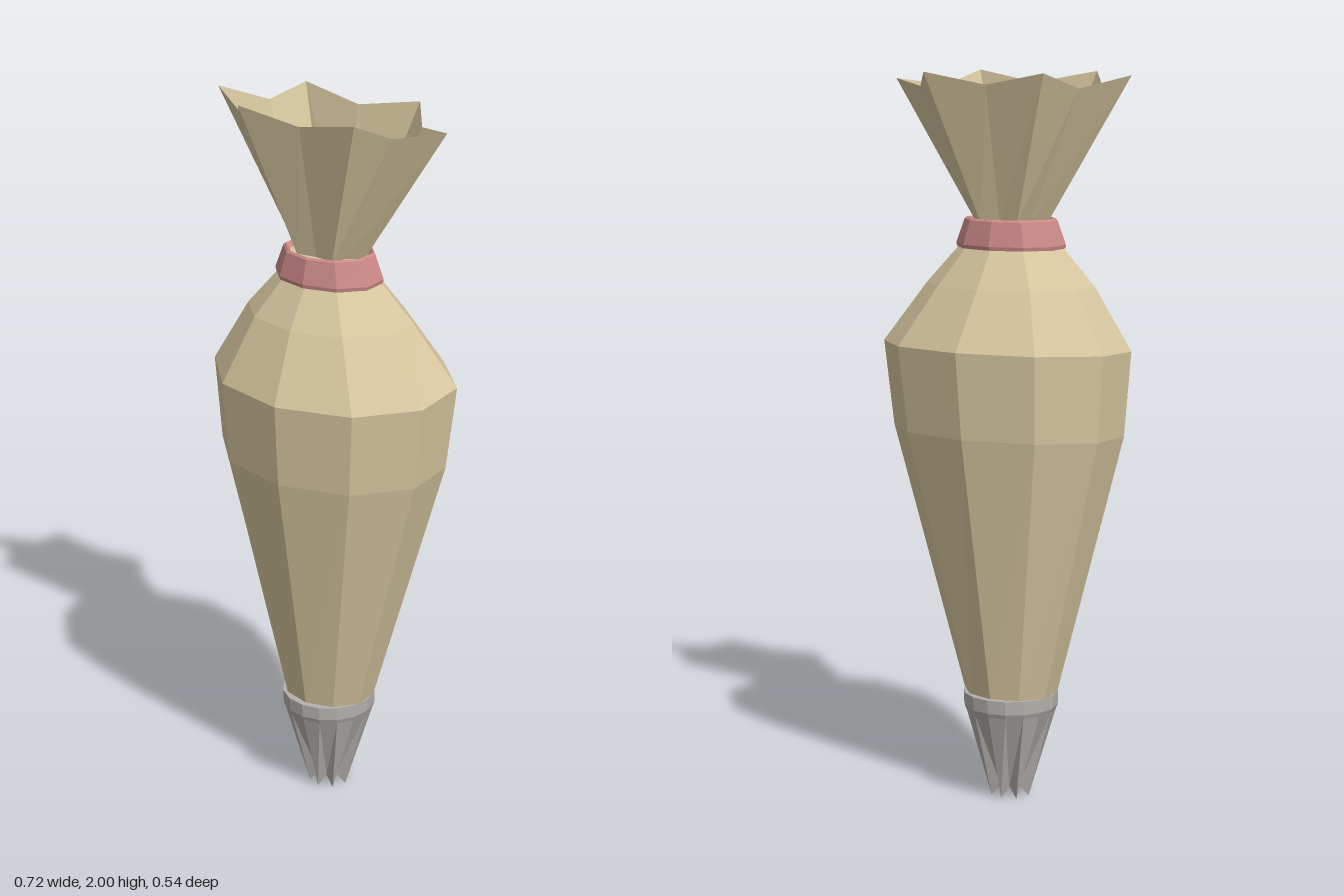
import * as THREE from 'three';

// Skin a stack of rings (bottom to top); each ring is a list of [x, y, z]
function loft(rings, { capBottom = false, capTop = false } = {}) {
  const n = rings[0].length;
  const pos = rings.flat(2);
  const idx = [];
  for (let k = 0; k < rings.length - 1; k++) {
    for (let i = 0; i < n; i++) {
      const j = (i + 1) % n;
      const a = k * n + i, c = k * n + j, b = a + n, d = c + n;
      idx.push(a, b, c, b, d, c);
    }
  }
  const cap = (k, top) => {
    const center = pos.length / 3;
    for (let axis = 0; axis < 3; axis++) {
      pos.push(rings[k].reduce((sum, p) => sum + p[axis], 0) / n);
    }
    for (let i = 0; i < n; i++) {
      const a = k * n + i, b = k * n + (i + 1) % n;
      idx.push(center, ...(top ? [b, a] : [a, b]));
    }
  };
  if (capBottom) cap(0, false);
  if (capTop) cap(rings.length - 1, true);
  const geo = new THREE.BufferGeometry();
  geo.setAttribute('position', new THREE.Float32BufferAttribute(pos, 3));
  geo.setIndex(idx);
  const flat = geo.toNonIndexed();
  flat.computeVertexNormals();
  return flat;
}

// Elliptical ring; the first corner sits at angle "start", "tilt" lowers the front
function ellipse(n, start, y, rx, rz, cx = 0, tilt = 0) {
  return Array.from({ length: n }, (_, i) => {
    const a = start + (i / n) * Math.PI * 2;
    return [cx + rx * Math.cos(a), y - tilt * Math.sin(a), rz * Math.sin(a)];
  });
}

// Mirror one quarter (from +x to +z) into a full twelve-point ring
function mirrorQuarter(q) {
  const half = [...q, ...q.slice(0, -1).reverse().map(([x, y, z]) => [-x, y, z])];
  const back = half.slice(1, -1).reverse().map(([x, y, z]) => [x, y, -z]);
  return [...half, ...back];
}

export function createModel() {
  const group = new THREE.Group();
  const make = (color, name) => {
    const m = new THREE.MeshStandardMaterial({ color, flatShading: true, side: THREE.DoubleSide });
    m.name = name;
    return m;
  };
  const cloth = make(0xd8c7a0, 'cream cloth');
  const pink = make(0xcc8a89, 'pink band');
  const metal = make(0xb5b0ac, 'grey metal');
  const add = (name, geo, mat) => {
    const mesh = new THREE.Mesh(geo, mat);
    mesh.name = name;
    group.add(mesh);
  };

  // Filled bag: ten-sided, slightly uneven teardrop: y, rx, rz, cx, tilt
  const start = Math.PI / 10;
  const bag = [
    [0.27, 0.125, 0.11, 0, 0],
    [1.03, 0.332, 0.25, 0.01, 0.01],
    [1.262, 0.355, 0.27, 0.015, 0.012],
    [1.43, 0.24, 0.18, 0.002, 0],
    [1.53, 0.15, 0.113, 0, 0],
    [1.595, 0.125, 0.095, 0, 0],
  ];
  add('bag', loft(bag.map((r) => ellipse(10, start, ...r)), { capBottom: true, capTop: true }), cloth);

  // Tie around the neck, a closed band
  const tie = [
    [1.535, 0.12, 0.09],
    [1.53, 0.154, 0.118],
    [1.54, 0.156, 0.12],
    [1.605, 0.131, 0.106],
    [1.61, 0.125, 0.1],
    [1.59, 0.11, 0.085],
  ];
  add('tie', loft(tie.map((r) => ellipse(10, start, ...r))), pink);

  // Pleated open top flaring out of the tie
  const neck = mirrorQuarter([[0.112, 1.6, 0], [0.074, 1.6, 0.03], [0.056, 1.6, 0.067], [0, 1.6, 0.06]]);
  const rim = mirrorQuarter([[0.358, 1.983, 0], [0.24, 1.957, 0.068], [0.18, 1.997, 0.15], [0, 1.965, 0.134]]);
  rim[0][1] -= 0.008;
  rim[6][1] += 0.008;
  add('ruffle', loft([neck, rim]), cloth);

  // Metal nozzle: collar, then eight flutes ending in pointed teeth
  const teeth = ellipse(16, 0, 0, 1, 1).map(([x, , z], i) => {
    const r = i % 2 ? 0.036 : 0.056;
    return [x * r, i % 2 ? 0.03 : 0, z * r];
  });
  add('nozzle', loft([
    teeth,
    ellipse(16, 0, 0.25, 0.126, 0.126),
    ellipse(16, 0, 0.262, 0.131, 0.131),
    ellipse(16, 0, 0.3, 0.132, 0.132),
    ellipse(16, 0, 0.3, 0.11, 0.1),
  ]), metal);

  return group;
}
